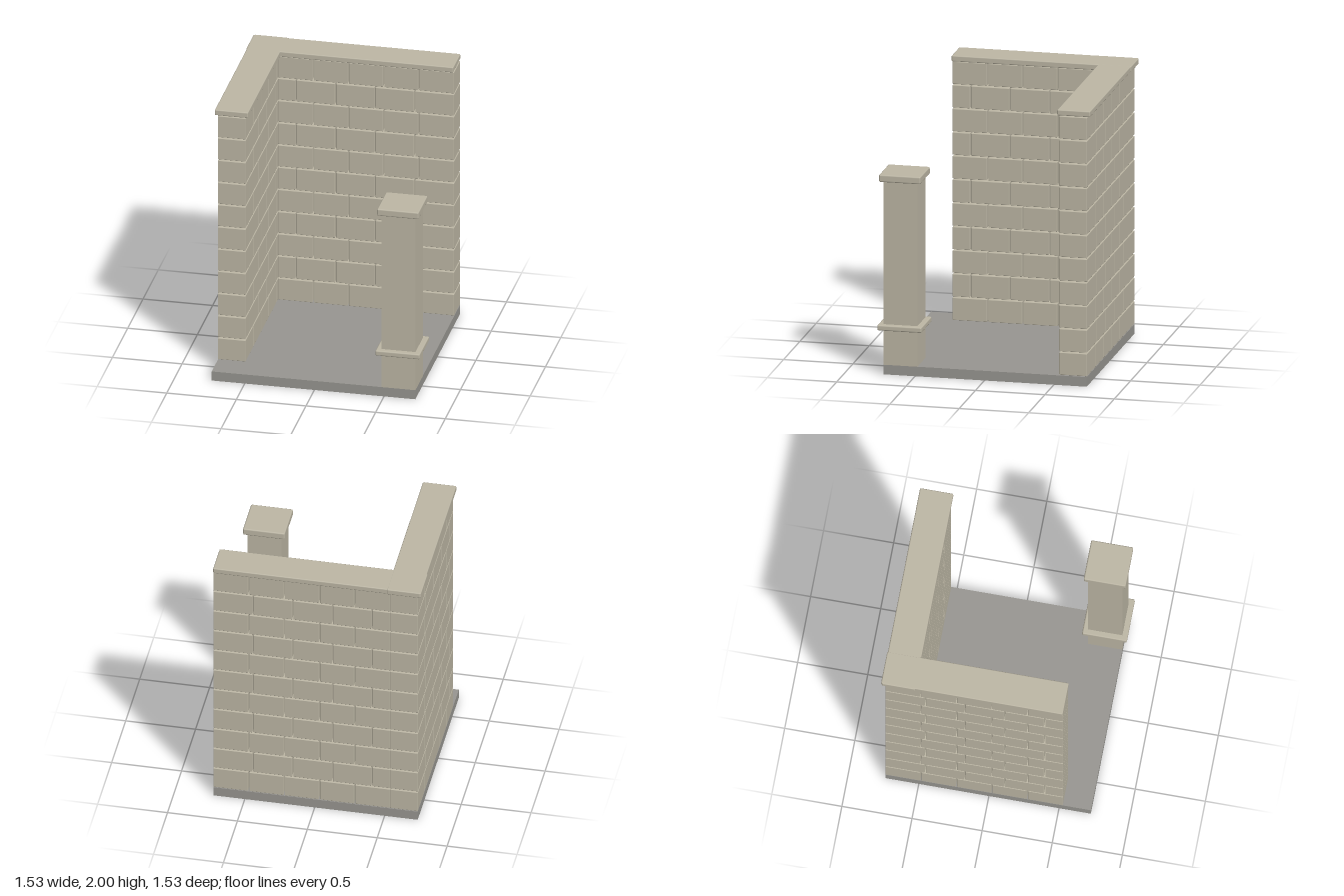
import * as THREE from 'three';
import { RoundedBoxGeometry } from 'three/addons/geometries/RoundedBoxGeometry.js';

const stone = new THREE.MeshStandardMaterial({ color: 0xbdb7a5 });
const slab = new THREE.MeshStandardMaterial({ color: 0x989691 });

// Block given by its extents on each axis; bevel 0 gives a sharp box
function block(name, [x0, x1], [y0, y1], [z0, z1], bevel = 0, material = stone) {
  const size = [x1 - x0, y1 - y0, z1 - z0];
  const geometry = bevel
    ? new RoundedBoxGeometry(...size, 1, bevel)
    : new THREE.BoxGeometry(...size);
  const mesh = new THREE.Mesh(geometry, material);
  mesh.name = name;
  mesh.position.set((x0 + x1) / 2, (y0 + y1) / 2, (z0 + z1) / 2);
  return mesh;
}

// Brick wall with open joints, running along +x from 0, centred on z = 0
function brickWall(name) {
  const wall = new THREE.Group();
  wall.name = name;
  const length = 1.265, half = 0.1, rows = 11, base = 0.07, gap = 0.009;
  const pitch = (1.957 - base) / rows;
  for (let row = 0; row < rows; row++) {
    // Even rows hold five equal bricks, odd rows a short brick and four long ones
    const start = row % 2 ? 0.13 : 0;
    const count = row % 2 ? 4 : 5;
    const joints = row % 2 ? [0] : [];
    for (let i = 0; i <= count; i++) joints.push(start + (length - start) * i / count);
    const y = base + row * pitch;
    for (let i = 0; i < joints.length - 1; i++) {
      const x0 = joints[i] + (i ? gap / 2 : 0);
      const x1 = joints[i + 1] - (i < joints.length - 2 ? gap / 2 : 0);
      wall.add(block('brick', [x0, x1], [y + gap / 2, y + pitch - gap / 2], [-half, half], 0.004));
    }
  }
  return wall;
}

export function createModel() {
  const model = new THREE.Group();
  model.name = 'walledCorner';

  // Floor slab
  model.add(block('floor', [-0.737, 0.725], [0, 0.07], [-0.737, 0.727], 0, slab));

  // Two identical walls meeting at the back corner
  const backWall = brickWall('backWall');
  backWall.position.set(-0.54, 0, -0.638);
  const sideWall = brickWall('sideWall');
  sideWall.rotation.y = Math.PI / 2;
  sideWall.position.set(-0.638, 0, 0.527);
  model.add(backWall, sideWall);

  // Coping along the wall tops
  model.add(block('backCoping', [-0.765, 0.723], [1.957, 1.999], [-0.76, -0.522], 0.008));
  model.add(block('sideCoping', [-0.76, -0.52], [1.957, 2], [-0.765, 0.53], 0.008));

  // Free-standing pillar with a band and a cap
  const square = (name, half, y, bevel) =>
    block(name, [0.604 - half, 0.604 + half], y, [0.605 - half, 0.605 + half], bevel);
  const pillar = new THREE.Group();
  pillar.name = 'pillar';
  pillar.add(
    square('pillarShaft', 0.122, [0.07, 1.405], 0),
    square('pillarBand', 0.16, [0.325, 0.365], 0.01),
    square('pillarCap', 0.15, [1.402, 1.455], 0.01),
  );
  model.add(pillar);

  return model;
}
